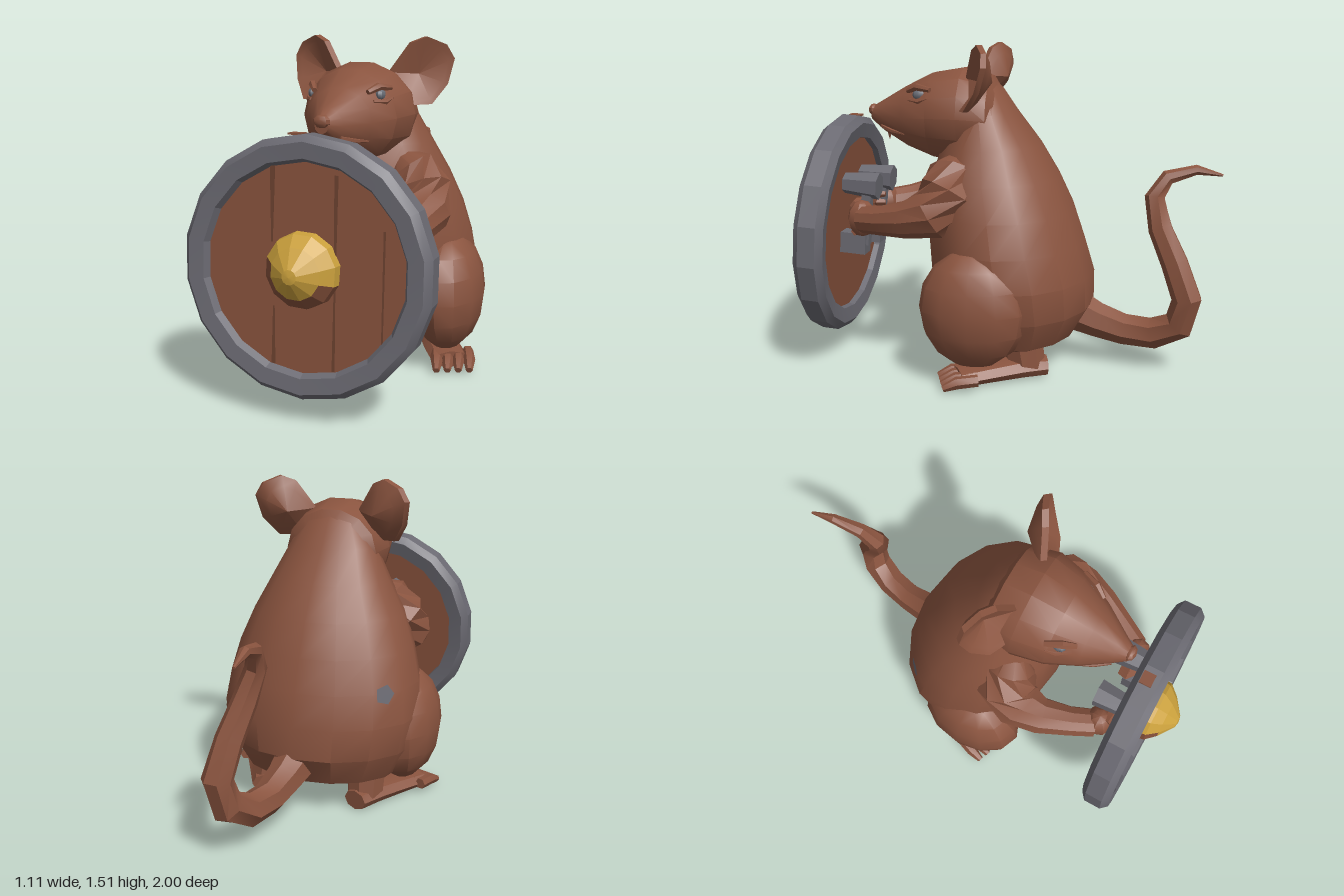
import * as THREE from 'three';
import { toCreasedNormals } from 'three/addons/utils/BufferGeometryUtils.js';

const V = (x, y, z) => new THREE.Vector3(x, y, z);
const mat = (name, color) => {
  const m = new THREE.MeshStandardMaterial({ color });
  m.name = name;
  return m;
};

// Skin a list of point rings and close both ends
function loft(rings, startCap, endCap) {
  const n = rings[0].length;
  const mean = r => r.reduce((s, p) => s.add(p), V(0, 0, 0)).divideScalar(n);
  const last = rings.length - 1;
  const pts = [...rings.flat(), startCap || mean(rings[0]), endCap || mean(rings[last])];
  const s = pts.length - 2, e = pts.length - 1, index = [];
  for (let j = 0; j < n; j++) {
    const k = (j + 1) % n;
    for (let i = 0; i < last; i++) {
      const a = i * n + j, b = i * n + k;
      index.push(a, b, b + n, a, b + n, a + n);
    }
    index.push(s, k, j, e, last * n + j, last * n + k);
  }
  const g = new THREE.BufferGeometry().setFromPoints(pts);
  g.setIndex(index);
  return crease(g);
}

function crease(g, angle = 0.5) {
  g.deleteAttribute('uv');
  return toCreasedNormals(g, angle);
}

const ellipse = (c, u, v, n) => Array.from({ length: n }, (_, j) => {
  const t = (j / n) * Math.PI * 2;
  return c.clone().addScaledVector(u, Math.cos(t)).addScaledVector(v, Math.sin(t));
});

// Tapered limb through [x, y, z, radius, optional height radius]
function limb(path, n = 8, ref = V(0, 1, 0)) {
  const c = path.map(p => V(p[0], p[1], p[2]));
  return loft(path.map((p, i) => {
    const t = c[Math.min(i + 1, c.length - 1)].clone().sub(c[Math.max(i - 1, 0)]).normalize();
    const u = ref.clone().cross(t).normalize();
    const v = t.clone().cross(u);
    return ellipse(c[i], u.multiplyScalar(p[3]), v.multiplyScalar(p[4] ?? p[3]), n);
  }));
}

function ellipsoid(x, y, z, rx, ry, rz, w = 10, h = 7) {
  const g = new THREE.SphereGeometry(1, w, h);
  g.scale(rx, ry, rz).translate(x, y, z);
  return crease(g, 0.6);
}

const box = (x, y, z, w, h, d) => new THREE.BoxGeometry(w, h, d).translate(x, y, z);

// Copy reflected in x, with the triangle order restored
function mirrored(geo) {
  const g = geo.index ? geo.toNonIndexed() : geo.clone();
  g.deleteAttribute('uv');
  for (const key of ['position', 'normal']) {
    const a = g.attributes[key];
    for (let i = 0; i < a.count; i += 3) {
      const p = V().fromBufferAttribute(a, i), q = V().fromBufferAttribute(a, i + 2);
      const m = a.getX(i + 1);
      a.setXYZ(i, -q.x, q.y, q.z);
      a.setX(i + 1, -m);
      a.setXYZ(i + 2, -p.x, p.y, p.z);
    }
  }
  return g;
}

export function createModel() {
  const fur = mat('brown fur', 0x8a543f);
  const wood = mat('shield wood', 0x87523c);
  const iron = mat('iron', 0x6b6a72);
  const gold = mat('gold', 0xcaa03c);
  const dark = mat('dark groove', 0x6b412f);
  const eyeGrey = mat('eye grey', 0x696d76);

  const model = new THREE.Group();
  const add = (name, geo, material, parent = model) => {
    const m = new THREE.Mesh(geo, material);
    m.name = name;
    parent.add(m);
    return m;
  };
  const pair = (name, geo, material, parent = model) => {
    add(name + 'Left', geo, material, parent);
    add(name + 'Right', mirrored(geo), material, parent);
  };

  // Torso: [y, back z, front z, half width]
  const torso = [
    [0.09, -0.2, 0.16, 0.25], [0.16, -0.34, 0.24, 0.39], [0.3, -0.42, 0.32, 0.465],
    [0.45, -0.42, 0.36, 0.49], [0.6, -0.375, 0.37, 0.47], [0.75, -0.325, 0.37, 0.43],
    [0.9, -0.255, 0.365, 0.37], [1.05, -0.165, 0.31, 0.29], [1.2, -0.05, 0.25, 0.215],
    [1.31, 0.025, 0.2, 0.15], [1.365, 0.08, 0.17, 0.08]];
  add('torso', loft(torso.map(([y, b, f, w]) =>
    ellipse(V(0, y, (b + f) / 2), V(0, 0, (f - b) / 2), V(w, 0, 0), 16))), fur);

  // Small grey patch on the flank
  const patch = add('flankPatch', new THREE.CircleGeometry(0.048, 5), iron);
  patch.position.set(-0.378, 0.6, -0.238);
  patch.lookAt(-1.375, 0.8, -1.235);

  // Head: [z, top, bottom, half width]
  const head = [
    [0.0, 1.26, 1.06, 0.12], [0.07, 1.37, 0.98, 0.225], [0.2, 1.41, 0.96, 0.25],
    [0.35, 1.385, 0.98, 0.215], [0.48, 1.32, 1.03, 0.15], [0.6, 1.25, 1.1, 0.07],
    [0.66, 1.215, 1.15, 0.03]];
  add('head', loft(head.map(([z, t, b, w]) =>
    ellipse(V(0, (t + b) / 2, z), V(w, 0, 0), V(0, (t - b) / 2, 0), 14))), fur);
  add('nose', ellipsoid(0, 1.2, 0.655, 0.038, 0.028, 0.025, 8, 5), fur);
  add('teeth', new THREE.ConeGeometry(0.02, 0.07, 4).rotateX(Math.PI).translate(0, 1.09, 0.58), fur);
  pair('lip', limb([[0.056, 1.128, 0.6, 0.009], [0.095, 1.11, 0.54, 0.01], [0.13, 1.1, 0.47, 0.005]], 5), fur);
  pair('eye', ellipsoid(0.153, 1.285, 0.385, 0.021, 0.025, 0.034, 8, 6), eyeGrey);
  pair('brow', limb([[0.12, 1.3, 0.45, 0.012], [0.15, 1.32, 0.4, 0.018], [0.18, 1.31, 0.33, 0.012]], 6), fur);
  pair('lowerLid', limb([[0.14, 1.26, 0.44, 0.008], [0.175, 1.255, 0.385, 0.012], [0.19, 1.27, 0.34, 0.008]], 6), fur);

  // Cupped ears, opening forward and outward
  const rim = [[0.2, 1.22, 0.2], [0.31, 1.225, 0.15], [0.365, 1.31, 0.09], [0.385, 1.42, 0.055],
    [0.35, 1.48, 0.06], [0.27, 1.515, 0.095], [0.21, 1.49, 0.13], [0.125, 1.36, 0.175]].map(p => V(...p));
  const back = V(0.21, 1.35, 0.035), dip = V(0.225, 1.35, 0.075);
  const behind = V(-0.018, 0, -0.022);
  pair('ear', loft([
    rim.map(p => p.clone().lerp(back, 0.3).add(behind)),
    rim.map(p => p.clone().add(behind)),
    rim, rim.map(p => p.clone().lerp(dip, 0.18))], back, dip), fur);

  // Arms and hands
  pair('arm', limb([[0.17, 0.99, 0.2, 0.05], [0.23, 0.94, 0.21, 0.115], [0.285, 0.85, 0.225, 0.14],
    [0.32, 0.765, 0.3, 0.12], [0.315, 0.735, 0.42, 0.087], [0.265, 0.715, 0.55, 0.07],
    [0.215, 0.705, 0.65, 0.066]], 10), fur);
  pair('hand', ellipsoid(0.195, 0.705, 0.665, 0.07, 0.088, 0.07, 8, 6), fur);
  for (let i = 0; i < 4; i++) {
    const y = 0.64 + i * 0.042;
    pair('finger' + i, limb([[0.2, y, 0.7, 0.022], [0.13, y, 0.708, 0.023], [0.085, y, 0.675, 0.021], [0.09, y, 0.64, 0.014]], 5), fur);
  }

  // Hind legs and feet
  pair('thigh', ellipsoid(0.385, 0.355, 0.09, 0.168, 0.275, 0.255, 12, 8), fur);
  pair('ankle', limb([[0.255, 0.03, -0.13, 0.085, 0.09], [0.25, 0.22, -0.1, 0.1, 0.1]], 8, V(0, 0, 1)), fur);
  pair('foot', limb([[0.235, 0.047, -0.22, 0.06, 0.047], [0.275, 0.05, -0.1, 0.085, 0.05],
    [0.35, 0.045, 0.04, 0.09, 0.045], [0.42, 0.04, 0.16, 0.09, 0.04]], 8), fur);
  for (let i = 0; i < 4; i++) {
    const x = 0.355 + i * 0.047, z = 0.18 - i * 0.018;
    pair('toe' + i, limb([[x - 0.02, 0.05, z - 0.07, 0.027], [x + 0.01, 0.045, z + 0.02, 0.028],
      [x + 0.025, 0.02, z + 0.08, 0.016]], 6), fur);
  }

  // Curling tail
  add('tail', limb([[0.02, 0.25, -0.34, 0.1], [0.03, 0.21, -0.44, 0.085], [0.045, 0.175, -0.57, 0.075],
    [0.075, 0.175, -0.71, 0.075], [0.115, 0.24, -0.825, 0.074], [0.14, 0.37, -0.855, 0.07],
    [0.11, 0.53, -0.795, 0.064], [0.07, 0.68, -0.725, 0.057], [0.03, 0.82, -0.695, 0.048],
    [0.01, 0.91, -0.75, 0.036], [-0.015, 0.945, -0.88, 0.024], [-0.03, 0.92, -1, 0.006]], 7, V(1, 0, 0)), fur);

  // Round shield, leaning back a little
  const shield = new THREE.Group();
  shield.name = 'shield';
  shield.position.set(0, 0.64, 0.82);
  shield.rotation.x = -0.075;
  model.add(shield);
  const lathe = (profile, n, from, sweep) => crease(new THREE.LatheGeometry(
    profile.map(p => new THREE.Vector2(...p)), n, from, sweep).rotateX(Math.PI / 2), 0.3);
  add('shieldRim', lathe([[0.43, -0.06], [0.5, -0.072], [0.533, -0.045], [0.533, 0.035], [0.505, 0.065],
    [0.44, 0.06], [0.425, 0.03], [0.43, -0.06]], 18), iron, shield);
  add('shieldBoard', crease(new THREE.CylinderGeometry(0.45, 0.45, 0.06, 18).rotateX(Math.PI / 2)), wood, shield);
  add('rimWornSpot', box(-0.055, 0.528, -0.015, 0.06, 0.008, 0.055), wood, shield);

  // Tapering gaps between the planks: [x, from y, to y, half width]
  for (const [x, y0, y1, w] of [[-0.14, 0.41, 0.1, 0.011], [-0.13, -0.4, -0.16, 0.008],
    [0.13, 0.38, -0.1, 0.008], [0.13, -0.4, -0.05, 0.006], [0.33, 0.18, -0.28, 0.004]]) {
    const gap = new THREE.Shape([[x - w, y0], [x + w, y0], [x + 0.003, y1], [x - 0.003, y1]]
      .map(p => new THREE.Vector2(...p)));
    add('plankGap', new THREE.ExtrudeGeometry(gap, { depth: 0.004, bevelEnabled: false })
      .translate(0, 0, 0.029), dark, shield);
  }

  // Boss: gold dome with a worn side along the bottom and one flank
  const base = [[0.157, 0.02], [0.15, 0.07], [0.105, 0.118]], crown = [[0.105, 0.118], [0.03, 0.172], [0, 0.178]];
  const wornFrom = -Math.PI * 0.6, wornSweep = Math.PI;
  add('bossDome', lathe(base, 6, wornFrom + wornSweep, Math.PI), gold, shield);
  add('bossTip', lathe(crown, 12, wornFrom, Math.PI * 2), gold, shield);
  add('bossWornSide', lathe(base, 6, wornFrom, wornSweep), wood, shield);

  // Two grips behind the shield
  const mount = new THREE.CylinderGeometry(0.066, 0.05, 0.17, 6).rotateX(-Math.PI / 2);
  pair('gripUpperMount', crease(mount.translate(0.115, 0.22, -0.115)), iron, shield);
  pair('gripLowerMount', box(0.115, -0.065, -0.09, 0.08, 0.1, 0.13), iron, shield);
  pair('gripBar', box(0.12, 0.08, -0.145, 0.045, 0.3, 0.045), iron, shield);

  return model;
}
